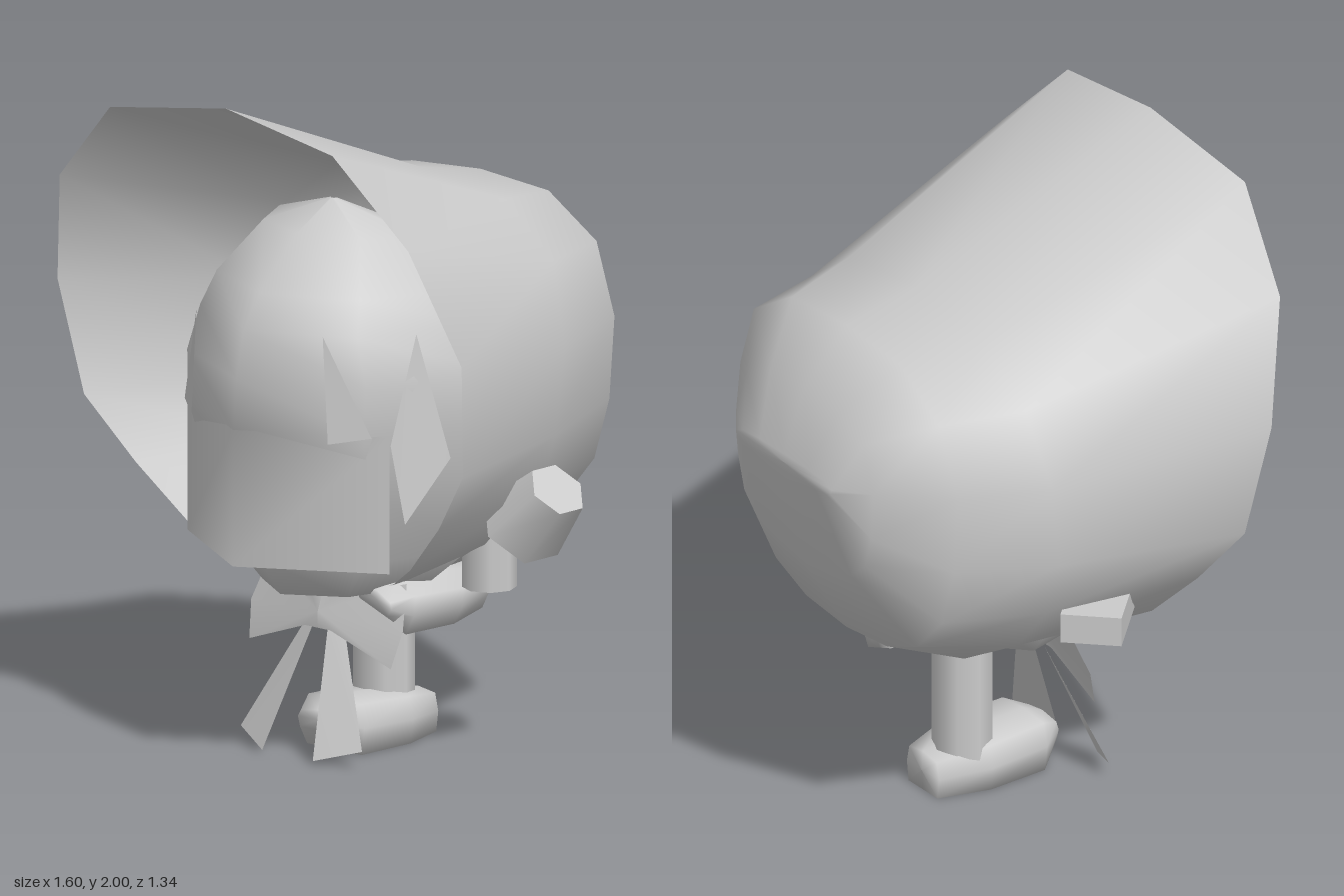
import * as THREE from 'three';

const grey = new THREE.MeshStandardMaterial({ color: 0xcccccc });
const thin = new THREE.MeshStandardMaterial({ color: 0xcccccc, side: THREE.DoubleSide });

// Indexed surface with smooth normals
function surface(points, index) {
  const g = new THREE.BufferGeometry();
  g.setAttribute('position', new THREE.Float32BufferAttribute(points.flat(), 3));
  g.setIndex(index);
  g.computeVertexNormals();
  return g;
}

// Skin over closed loops of [x, y, z] points
function loft(rings) {
  const n = rings[0].length, index = [];
  for (let i = 0; i < rings.length - 1; i++) {
    for (let j = 0; j < n; j++) {
      const k = (j + 1) % n, a = i * n + j, b = i * n + k, c = a + n, d = b + n;
      index.push(a, b, c, b, d, c);
    }
  }
  return surface(rings.flat(), index);
}

// Thin polygon fanned out from its first corner
function sheet(corners) {
  const index = [];
  for (let i = 1; i < corners.length - 1; i++) index.push(0, i, i + 1);
  return surface(corners, index);
}

// Full loop from its +x half, listed from top to bottom
const mirror = (half) => [...half, ...half.slice(1, -1).reverse().map(([x, y, z]) => [-x, y, z])];
// Loop collapsed to one point, used as an end cap
const point = (n, x, y, z) => Array.from({ length: n }, () => [x, y, z]);

export function createModel() {
  const model = new THREE.Group();
  const add = (name, geometry, material = grey, parent = model) => {
    const mesh = new THREE.Mesh(geometry, material);
    mesh.name = name;
    parent.add(mesh);
    return mesh;
  };

  // Bonnet: hollow shell, flared rim running back into a round crown
  const rim = mirror([
    [0, 2, 0.645], [0.44, 1.935, 0.665], [0.69, 1.68, 0.61], [0.8, 1.33, 0.5], [0.75, 0.98, 0.44],
    [0.6, 0.79, 0.38], [0.44, 0.63, 0.33], [0.25, 0.53, 0.2], [0, 0.47, 0.15]]);
  const crown = mirror([
    [0, 1.67, -0.2], [0.33, 1.63, -0.2], [0.53, 1.48, -0.19], [0.61, 1.24, -0.15], [0.6, 0.98, -0.12],
    [0.54, 0.8, -0.12], [0.42, 0.65, -0.14], [0.24, 0.55, -0.2], [0, 0.51, -0.25]]);
  const rear = mirror([
    [0, 1.62, -0.45], [0.27, 1.6, -0.45], [0.46, 1.48, -0.45], [0.54, 1.27, -0.44], [0.52, 1.02, -0.44],
    [0.46, 0.83, -0.44], [0.35, 0.71, -0.45], [0.2, 0.65, -0.45], [0, 0.63, -0.45]]);
  const back = mirror([
    [0, 1.46, -0.6], [0.17, 1.45, -0.6], [0.29, 1.39, -0.6], [0.34, 1.25, -0.6], [0.33, 1.1, -0.6],
    [0.3, 1.0, -0.6], [0.23, 0.94, -0.6], [0.13, 0.91, -0.6], [0, 0.89, -0.6]]);
  const tip = back.map(([x, y]) => [x * 0.7, 1.24 + (y - 1.2) * 0.1, -0.675]);
  add('bonnet', loft([rim, crown, rear, back, tip, point(rim.length, 0, 1.24, -0.677)]), thin);

  // Head: eight-sided egg with a vertical ridge, rows of [y, half width, front, middle depth]
  const rows = [[0.46, 0.02, 0.15, 0.1], [0.5, 0.24, 0.41, 0.05], [0.62, 0.37, 0.5, 0], [0.85, 0.46, 0.54, 0],
    [1.03, 0.49, 0.61, 0], [1.18, 0.5, 0.6, 0.01], [1.32, 0.44, 0.57, 0.05], [1.42, 0.4, 0.5, 0.08],
    [1.57, 0.27, 0.34, 0.12], [1.65, 0.01, 0.19, 0.18]];
  add('head', loft(rows.map(([y, w, front, mid]) => Array.from({ length: 8 }, (_, i) => {
    const a = i * Math.PI / 4, c = Math.cos(a);
    return [w * Math.sin(a), y, mid + (c > 0 ? front - mid : w * 0.4) * c];
  }))));

  // Face panel: upright sheet bent back from the middle
  const panel = new THREE.PlaneGeometry(0.8, 0.41, 2, 1).translate(0, 0.825, 0);
  const pos = panel.attributes.position;
  for (let i = 0; i < pos.count; i++) pos.setZ(i, 0.615 - 0.6 * Math.abs(pos.getX(i)));
  panel.computeVertexNormals();
  add('facePanel', panel, thin);

  for (const s of [1, -1]) {
    const side = s > 0 ? 'left' : 'right';
    // Pointed lock above the panel, and a long one beside it
    add(side + 'HairSpike', sheet([
      [s * 0.25, 1.33, 0.5], [s * 0.27, 1.01, 0.5], [s * 0.37, 1.03, 0.42]]), thin);
    add(side + 'SideLock', sheet([
      [s * 0.4, 1.32, 0.26], [s * 0.39, 1.0, 0.36], [s * 0.41, 0.76, 0.32], [s * 0.48, 0.95, 0.2]]), thin);
    // Bow loop and trailing ribbon
    add(side + 'BowLoop', sheet([
      [0, 0.42, 0.25], [0, 0.37, 0.25], [s * 0.05, 0.37, 0.25], [s * 0.28, 0.29, 0.24],
      [s * 0.3, 0.4, 0.21], [s * 0.27, 0.53, 0.16], [s * 0.05, 0.47, 0.23], [0, 0.47, 0.23]]), thin);
    add(side + 'Ribbon', sheet([
      [s * 0.03, 0.37, 0.24], [s * 0.1, 0.01, 0.38], [s * 0.24, 0.05, 0.32], [s * 0.08, 0.37, 0.22]]), thin);
  }

  // Foot: chunky wedge with a narrow heel, toe forward, standing on y = 0
  const sections = [[0.27, 0.08, 0.07, 0.13], [0.2, 0.12, 0, 0.16], [0, 0.13, 0, 0.15], [-0.16, 0.08, 0, 0.125]];
  const footRings = sections.map(([z, w, low, top]) => mirror([
    [0, top, z], [w * 0.85, top - 0.01, z], [w, (low + top) / 2, z], [w * 0.9, low, z], [0, low, z]]));
  const footGeometry = loft([point(8, 0, 0.1, 0.27), ...footRings, point(8, 0, 0.065, -0.165)]);

  const standingLeg = new THREE.Group();
  standingLeg.name = 'standingLeg';
  add('foot', footGeometry, grey, standingLeg);
  add('shin', new THREE.CylinderGeometry(0.09, 0.09, 0.5, 8), grey, standingLeg).position.set(-0.02, 0.33, -0.035);
  standingLeg.position.x = 0.02;
  model.add(standingLeg);

  // Raised leg, tucked under the head
  const raisedFoot = add('raisedFoot', footGeometry);
  raisedFoot.scale.set(0.85, 0.85, 1);
  raisedFoot.position.set(0.18, 0.41, -0.04);
  raisedFoot.rotation.z = -0.36;
  add('raisedShin', new THREE.CylinderGeometry(0.08, 0.08, 0.18, 8)).position.set(0.385, 0.59, -0.07);

  // Left fist, lifted outward
  const fist = add('leftHand', new THREE.CylinderGeometry(0.09, 0.13, 0.2, 6));
  fist.scale.z = 1.1;
  fist.position.set(0.62, 0.78, -0.03);
  fist.rotation.z = -0.8;

  // Right arm: flat paddle passing through the brim
  const arm = add('rightArm', new THREE.BoxGeometry(0.37, 0.09, 0.18));
  arm.position.set(-0.5, 0.75, 0.1);
  arm.rotation.set(0, -0.77, -0.03);

  return model;
}
